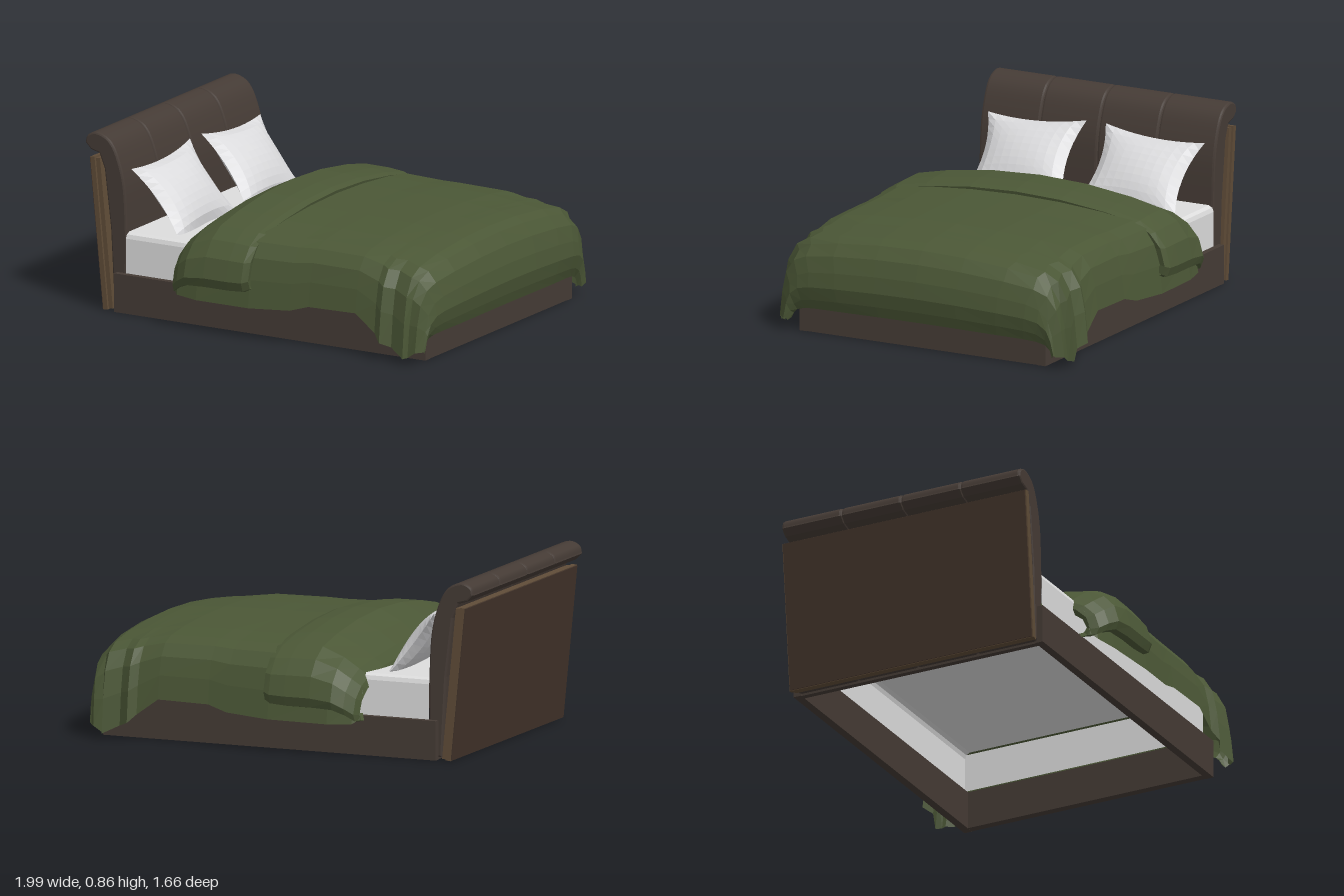
import * as THREE from 'three';

const material = (name, color, extra = {}) => {
  const m = new THREE.MeshStandardMaterial({ color, ...extra });
  m.name = name;
  return m;
};

// Surface through equally long rows of [x, y, z] points
function loft(rows) {
  const n = rows[0].length, index = [];
  for (let i = 0; i < rows.length - 1; i++) {
    for (let j = 0; j < n - 1; j++) {
      const a = i * n + j, b = a + n;
      index.push(a, a + 1, b, b, a + 1, b + 1);
    }
  }
  const g = new THREE.BufferGeometry();
  g.setAttribute('position', new THREE.Float32BufferAttribute(rows.flat(2), 3));
  g.setIndex(index);
  g.computeVertexNormals();
  return g;
}

// Draped cloth: stations [x, top, halfWidth, hem], profile [width share, drop share]
function drape(stations, profile, bend) {
  const full = [
    ...profile.slice(1).reverse().map(([w, d]) => [-w, d]),
    ...profile,
  ];
  return loft(stations.map(([x, top, half, hem]) => full.map(([w, d]) => [
    x + bend(x) * w ** 4, top + (hem - top) * d, w * half,
  ])));
}

// Square cushion with pinched corners and a plump middle
function pillowGeometry(halfWidth, halfHeight, plump) {
  const n = 10, sides = [];
  for (const s of [1, -1]) {
    const rows = [];
    for (let i = 0; i <= n; i++) {
      const row = [];
      for (let j = 0; j <= n; j++) {
        const u = s * (2 * j / n - 1), v = 2 * i / n - 1;
        const puff = Math.max(0, (1 - u * u) * (1 - v * v));
        row.push([
          s * plump * puff ** 0.6,
          v * halfHeight * (1 - 0.12 * (1 - u * u)),
          -u * halfWidth * (1 - 0.16 * (1 - v * v)),
        ]);
      }
      rows.push(row);
    }
    sides.push(loft(rows));
  }
  return sides;
}

export function createModel() {
  const bed = new THREE.Group();
  bed.name = 'bed';
  const cloth = { side: THREE.DoubleSide, flatShading: true };
  const leather = material('dark upholstery', 0x453b35);
  const wood = material('wood', 0x5e4b37);
  const backing = material('dark backing', 0x42332a);
  const white = material('white linen', 0xdcdcdc, { side: THREE.DoubleSide });
  const pillowCloth = material('pillow cotton', 0xdadadc, cloth);
  const green = material('green duvet', 0x4b5736, cloth);

  const add = (name, geometry, mat, parent = bed) => {
    const mesh = new THREE.Mesh(geometry, mat);
    mesh.name = name;
    parent.add(mesh);
    return mesh;
  };
  const box = (name, mat, w, h, d, x, y, z, parent) => {
    const mesh = add(name, new THREE.BoxGeometry(w, h, d), mat, parent);
    mesh.position.set(x, y, z);
    return mesh;
  };

  // Hollow bed frame
  for (const s of [1, -1]) box('sideRail', leather, 1.73, 0.19, 0.04, 0.045, 0.095, s * 0.65);
  box('footRail', leather, 0.04, 0.188, 1.32, 0.889, 0.095, 0);
  box('headRail', leather, 0.03, 0.06, 1.27, -0.8, 0.03, 0);

  // Padded headboard: four panels with a curled top
  const curl = new THREE.Shape();
  curl.moveTo(-0.83, 0.02);
  curl.lineTo(-0.78, 0.02);
  curl.lineTo(-0.778, 0.38);
  curl.splineThru([[-0.79, 0.6], [-0.825, 0.74], [-0.87, 0.82], [-0.935, 0.85], [-0.98, 0.835], [-0.99, 0.805]]
    .map(([x, y]) => new THREE.Vector2(x, y)));
  curl.lineTo(-0.965, 0.78);
  curl.lineTo(-0.915, 0.765);
  curl.lineTo(-0.885, 0.69);
  curl.lineTo(-0.85, 0.4);
  curl.closePath();
  const panel = new THREE.ExtrudeGeometry(curl, {
    depth: 0.296, bevelThickness: 0.012, bevelSize: 0.009, bevelSegments: 2, curveSegments: 14,
  });
  for (let i = 0; i < 4; i++) {
    add('headboardPanel', panel, leather).position.z = -0.628 + i * 0.32;
  }

  // Leaning wooden back with a dark plate behind it
  const back = new THREE.Group();
  back.name = 'headboardBack';
  back.position.set(-0.865, 0.002, 0);
  back.rotation.z = 0.098;
  bed.add(back);
  box('backBoard', wood, 0.024, 0.745, 1.31, -0.012, 0.3725, 0, back);
  box('frontBoard', wood, 0.022, 0.735, 1.29, 0.0125, 0.37, 0, back);
  box('backPlate', backing, 0.006, 0.74, 1.3, -0.0265, 0.3725, 0, back);

  // Mattress, open underneath and at the head
  const edge = [[0.19, -0.64], [0.36, -0.64], [0.38, -0.633], [0.39, -0.615],
    [0.39, 0.615], [0.38, 0.633], [0.36, 0.64], [0.19, 0.64]];
  const mattress = loft([-0.772, 0.86].map((x) => edge.map(([y, z]) => [x, y, z])));
  add('mattress', mattress.toNonIndexed(), white).geometry.computeVertexNormals();
  const end = add('mattressFoot', new THREE.PlaneGeometry(1.28, 0.19), white);
  end.rotation.y = Math.PI / 2;
  end.position.set(0.86, 0.285, 0);

  // Pillows leaning on the headboard
  const halves = pillowGeometry(0.27, 0.21, 0.068);
  for (const s of [1, -1]) {
    const pillow = new THREE.Group();
    pillow.name = 'pillow';
    pillow.position.set(-0.643, 0.54, s * 0.313);
    pillow.rotation.set(s * 0.05, 0, 0.67);
    halves.forEach((g) => add('pillowSide', g, pillowCloth, pillow));
    bed.add(pillow);
  }

  // Main duvet, hanging over the sides and the foot
  const hang = [[0, 0], [0.3, 0.015], [0.6, 0.06], [0.8, 0.12], [0.89, 0.2],
    [0.95, 0.38], [0.98, 0.65], [1, 1]];
  add('duvet', drape([
    [-0.45, 0.39, 0.73, 0.18],
    [-0.42, 0.41, 0.755, 0.16],
    [-0.3, 0.49, 0.78, 0.155],
    [0, 0.545, 0.795, 0.16],
    [0.22, 0.54, 0.78, 0.175],
    [0.32, 0.54, 0.77, 0.205],
    [0.58, 0.535, 0.77, 0.21],
    [0.69, 0.525, 0.775, 0.13],
    [0.73, 0.522, 0.8, 0.09],
    [0.78, 0.518, 0.77, 0.07],
    [0.86, 0.505, 0.8, 0.03],
    [0.91, 0.48, 0.77, 0.03],
    [0.955, 0.42, 0.775, 0.06],
    [0.98, 0.34, 0.74, 0.06],
    [0.99, 0.26, 0.735, 0.07],
    [0.975, 0.19, 0.72, 0.05],
    [0.955, 0.135, 0.71, 0.06],
  ], hang, (x) => (x > 0.9 ? -0.04 : 0)), green);

  // Turned-down fold across the head end, hem tucked under
  const fold = [[0, 0], [0.3, 0.03], [0.6, 0.12], [0.8, 0.22], [0.9, 0.36],
    [0.97, 0.57], [1, 0.85], [0.98, 0.98], [0.94, 1]];
  add('duvetFold', drape([
    [-0.455, 0.37, 0.7, 0.2],
    [-0.475, 0.4, 0.73, 0.17],
    [-0.46, 0.43, 0.77, 0.17],
    [-0.42, 0.47, 0.8, 0.2],
    [-0.34, 0.53, 0.825, 0.225],
    [-0.23, 0.585, 0.83, 0.23],
    [-0.1, 0.583, 0.83, 0.23],
    [-0.02, 0.572, 0.828, 0.235],
    [0.012, 0.56, 0.815, 0.25],
    [0.005, 0.53, 0.785, 0.26],
  ], fold, (x) => (x < -0.4 ? 0.025 : 0)), green);

  return bed;
}
